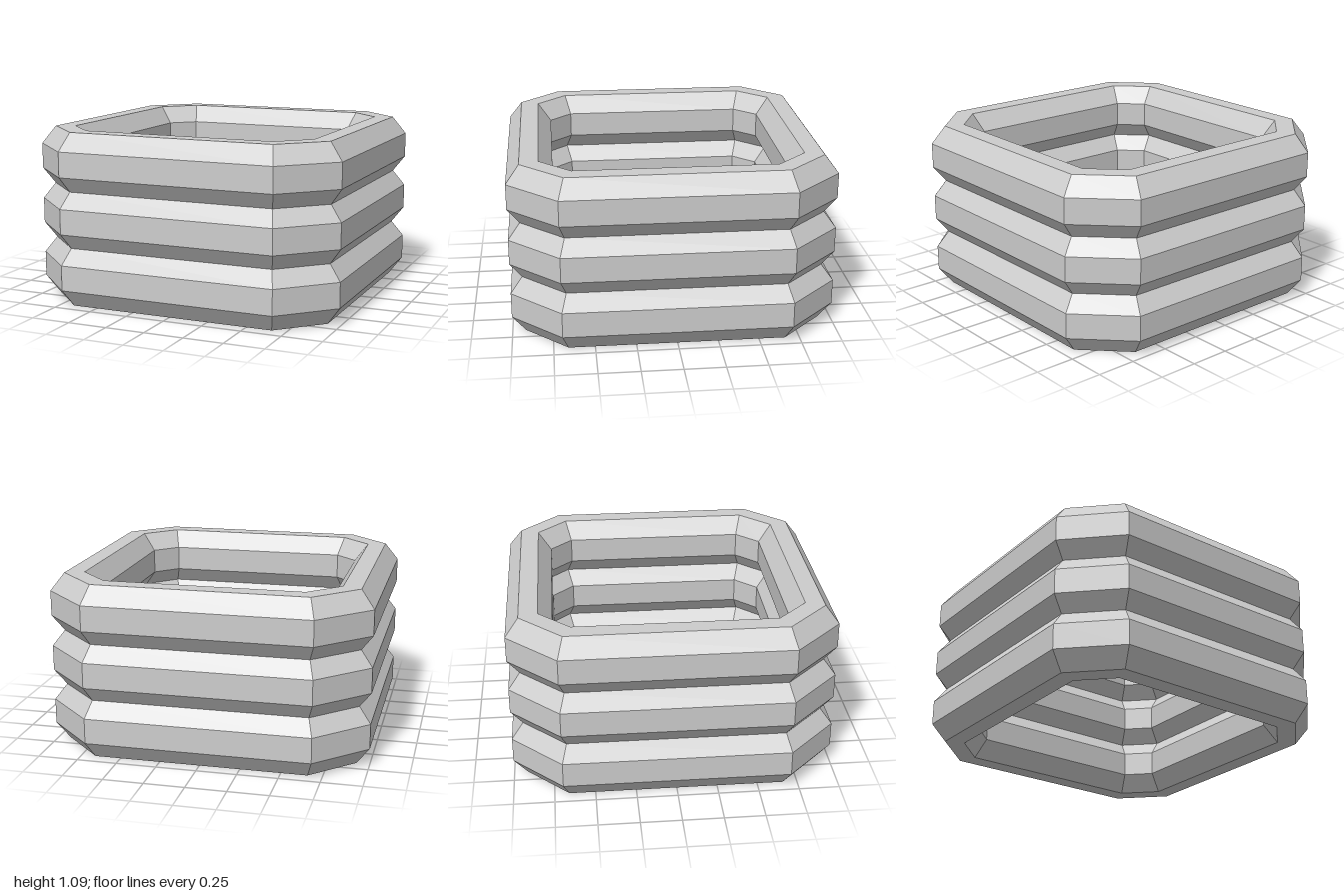
import * as THREE from 'three';

const RINGS = 3, PITCH = 0.3535, FIRST = 0.19;
const CORNER = 0.695;                 // half length of a long side at the outer face
const MITRE = Math.tan(Math.PI / 8);  // corner shift per unit of inset

// Corners of the chamfered square whose long sides lie r from the axis
function corners(r) {
  const c = CORNER - (1 - r) * MITRE;
  return [[r, -c], [r, c], [c, r], [-c, r], [-r, c], [-r, -c], [-c, -r], [c, -r]];
}

// Closed wall section: up the ribbed outside, then down the ribbed inside
function wallProfile() {
  const outer = [], inner = [];
  for (let i = 0; i < RINGS; i++) {
    const y = FIRST + i * PITCH;
    const first = i === 0, last = i === RINGS - 1;
    if (first) {
      outer.push([0.917, 0]);
      inner.push([0.802, 0]);
    }
    outer.push([1, y - 0.079], [1, y + 0.079]);
    inner.push([0.719, y - 0.079], [0.719, y + 0.079]);
    // groove between neighbouring rings, or the top rim
    const end = last ? y + 0.19 : y + PITCH / 2;
    outer.push([last ? 0.917 : 0.927, end]);
    inner.push([last ? 0.802 : 0.792, end]);
  }
  return outer.concat(inner.reverse());
}

// Sweep the section around the chamfered square with flat facets
function sweep(profile) {
  const pos = [];
  const loops = profile.map(([r, y]) => corners(r).map(([x, z]) => [x, y, z]));
  for (let i = 0; i < loops.length; i++) {
    const p = loops[i], q = loops[(i + 1) % loops.length];
    for (let j = 0; j < 8; j++) {
      const k = (j + 1) % 8;
      pos.push(...p[j], ...q[j], ...q[k], ...p[j], ...q[k], ...p[k]);
    }
  }
  const geo = new THREE.BufferGeometry();
  geo.setAttribute('position', new THREE.Float32BufferAttribute(pos, 3));
  geo.computeVertexNormals();
  return geo;
}

export function createModel() {
  const group = new THREE.Group();
  group.name = 'stackedRings';
  const grey = new THREE.MeshStandardMaterial({ color: 0xcccccc });
  grey.name = 'light grey';
  const wall = new THREE.Mesh(sweep(wallProfile()), grey);
  wall.name = 'ribbedWall';
  group.add(wall);
  return group;
}
